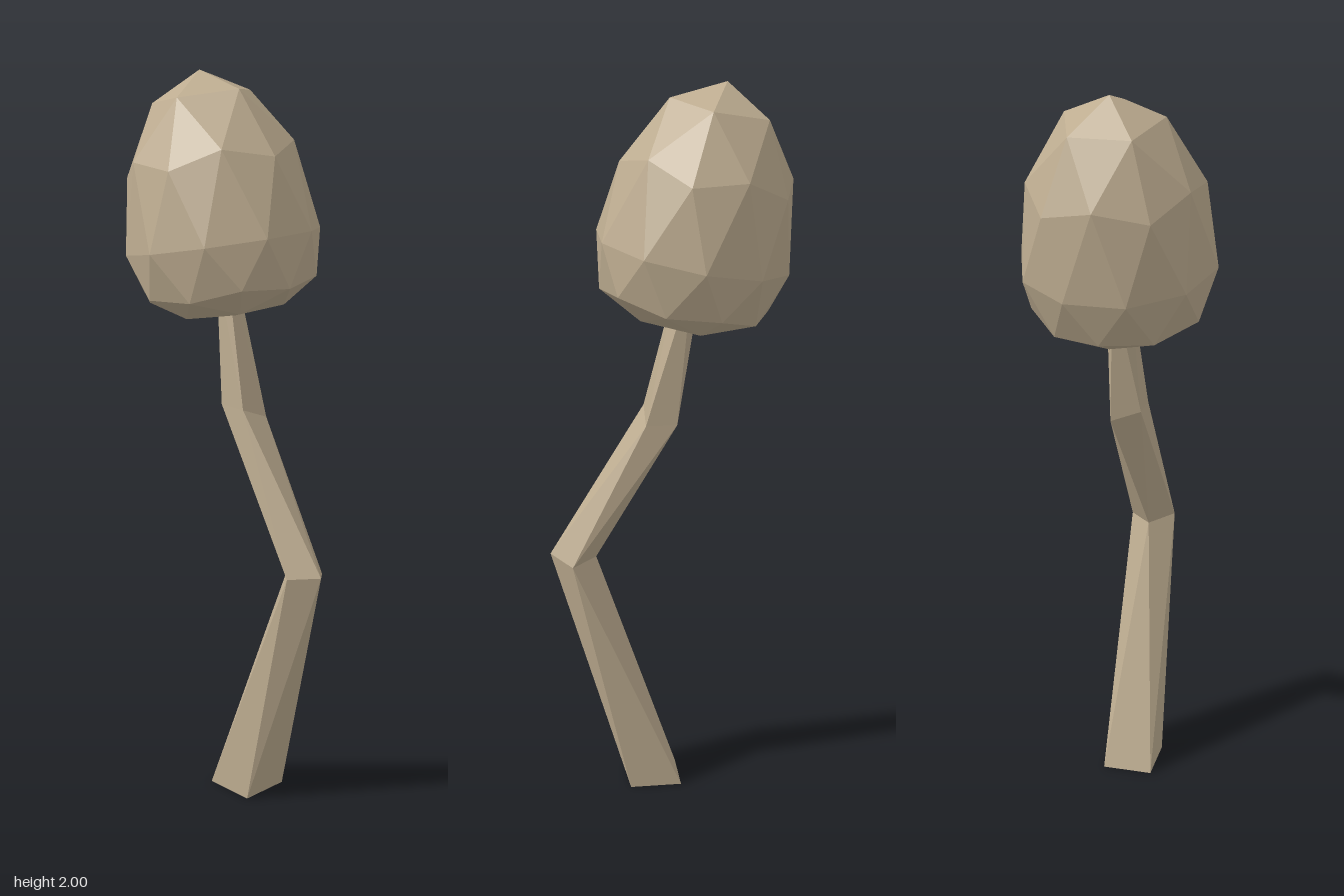
import * as THREE from 'three';

const wood = new THREE.MeshStandardMaterial({ color: 0xbdac90 });
wood.name = 'pale wood';
wood.flatShading = true;

// Four-cornered cross-sections of the crooked trunk, from the ground up
const sections = [
  [[-0.03, 0, 0.085], [0.115, 0, 0.085], [0.115, 0, -0.055], [-0.03, 0, -0.055]],
  [[0.2, 0.695, 0.02], [0.262, 0.705, 0.083], [0.327, 0.71, 0.02], [0.27, 0.69, -0.045]],
  [[-0.02, 1.09, -0.035], [-0.02, 1.125, 0.05], [0.062, 1.125, 0.05], [0.065, 1.09, -0.035]],
  [[-0.06, 1.5, -0.035], [-0.09, 1.5, -0.01], [-0.06, 1.5, 0.03], [-0.03, 1.5, 0.02]],
];

function loft(rings) {
  const pos = [];
  const quad = (a, b, c, d) => pos.push(...a, ...b, ...c, ...a, ...c, ...d);
  for (let i = 0; i < rings.length - 1; i++) {
    for (let k = 0; k < 4; k++) {
      const n = (k + 1) % 4;
      quad(rings[i][k], rings[i][n], rings[i + 1][n], rings[i + 1][k]);
    }
  }
  const top = rings[rings.length - 1];
  quad(...[...rings[0]].reverse());
  quad(...top);
  const geo = new THREE.BufferGeometry();
  geo.setAttribute('position', new THREE.Float32BufferAttribute(pos, 3));
  geo.computeVertexNormals();
  return geo;
}

// Faceted egg: tall above its widest ring, flattened below
function crownGeometry() {
  const geo = new THREE.IcosahedronGeometry(1, 1);
  geo.rotateZ(-Math.atan(2 / (1 + Math.sqrt(5)))); // one corner straight up
  const p = geo.attributes.position;
  for (let i = 0; i < p.count; i++) {
    const y = p.getY(i);
    const h = y > 0 ? y * 0.452 : y * (0.33 + 0.13 * y);
    p.setXYZ(i, p.getX(i) * 0.263, h, p.getZ(i) * 0.263);
  }
  geo.rotateZ(0.2);
  geo.translate(-0.063, 1.557, 0);
  geo.computeVertexNormals();
  return geo;
}

export function createModel() {
  const group = new THREE.Group();
  group.name = 'tree';
  const trunk = new THREE.Mesh(loft(sections), wood);
  trunk.name = 'trunk';
  const crown = new THREE.Mesh(crownGeometry(), wood);
  crown.name = 'crown';
  group.add(trunk, crown);
  return group;
}
